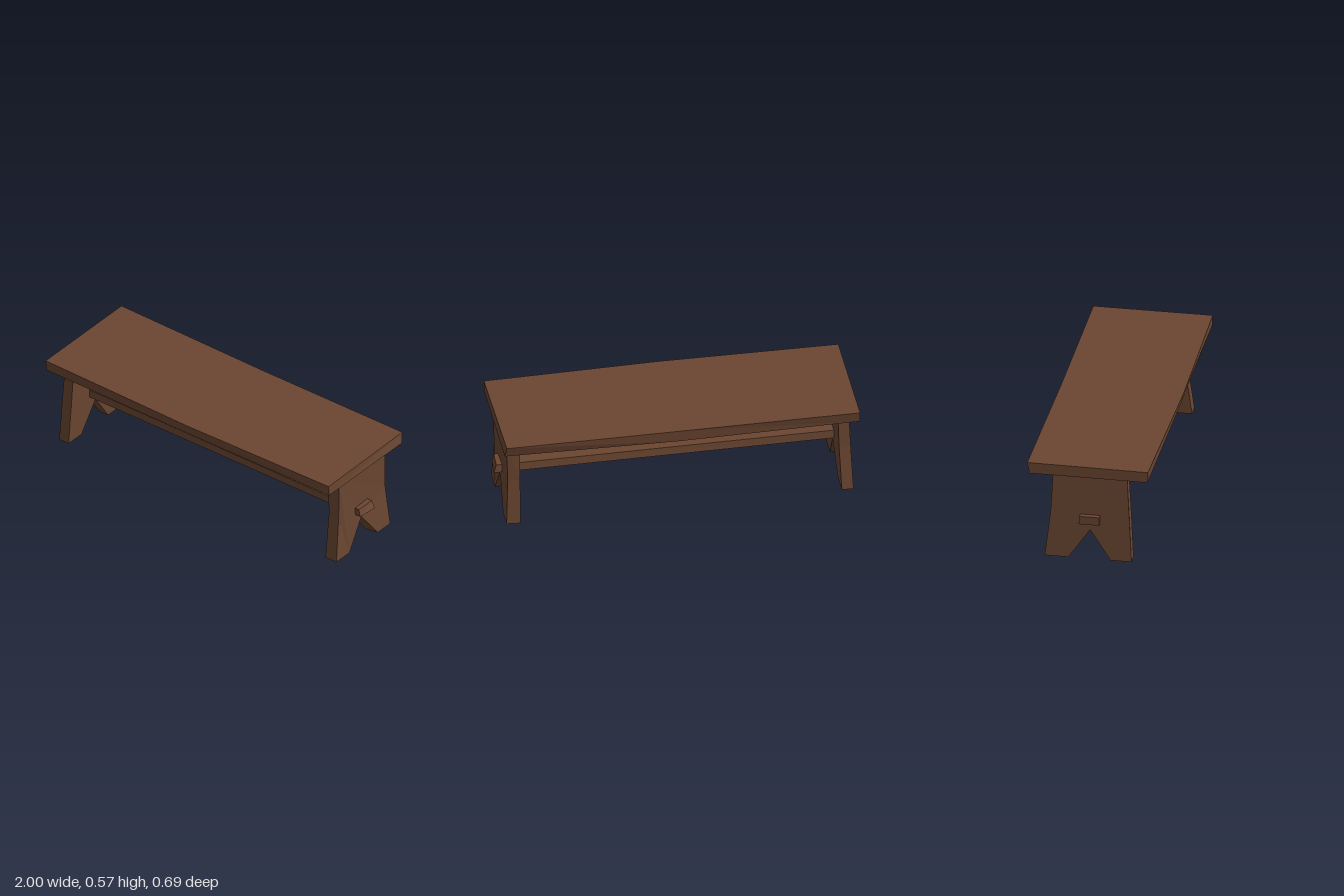
import * as THREE from 'three';

const wood = new THREE.MeshStandardMaterial({ color: 0x6b4631, flatShading: true });

// Lofts equal-length rings of [x, y, z] points, ordered from -x to +x, each
// counter-clockwise as seen from +x, and closes both ends.
function loft(name, rings) {
  const pos = [];
  const n = rings[0].length;
  const tri = (a, b, c) => pos.push(...a, ...b, ...c);
  for (let r = 0; r < rings.length - 1; r++) {
    const a = rings[r], b = rings[r + 1];
    for (let i = 0; i < n; i++) {
      const j = (i + 1) % n;
      tri(a[i], a[j], b[j]);
      tri(a[i], b[j], b[i]);
    }
  }
  const cap = (ring, flip) => {
    const outline = ring.map(([, y, z]) => new THREE.Vector2(-z, y));
    for (const [i, j, k] of THREE.ShapeUtils.triangulateShape(outline, [])) {
      if (flip) tri(ring[k], ring[j], ring[i]);
      else tri(ring[i], ring[j], ring[k]);
    }
  };
  cap(rings[0], true);
  cap(rings[rings.length - 1], false);

  const geometry = new THREE.BufferGeometry();
  geometry.setAttribute('position', new THREE.Float32BufferAttribute(pos, 3));
  geometry.computeVertexNormals();
  const mesh = new THREE.Mesh(geometry, wood);
  mesh.name = name;
  return mesh;
}

// Leg board face: straight-cut foot notch, slight waist, x given at foot, waist and top
function legFace([xFoot, xWaist, xTop], { front, back, notchFront, notchBack }) {
  const xNotch = xFoot + (xWaist - xFoot) * 0.66;
  return [
    [xFoot, 0, front[0]], [xFoot, 0, notchFront], [xNotch, 0.175, 0],
    [xFoot, 0, notchBack], [xFoot, 0, back[0]], [xWaist, 0.265, back[1]],
    [xTop, 0.506, back[2]], [xTop, 0.506, front[2]], [xWaist, 0.265, front[1]],
  ];
}

export function createModel() {
  const bench = new THREE.Group();
  bench.name = 'bench';

  // Seat plank, a little uneven along its length
  bench.add(loft('seat', [
    [[-1, 0.505, 0.325], [-1, 0.505, -0.335], [-1, 0.57, -0.347], [-1, 0.567, 0.328]],
    [[0, 0.503, 0.33], [0, 0.496, -0.333], [0, 0.565, -0.337], [0, 0.565, 0.345]],
    [[0.98, 0.505, 0.328], [0.98, 0.505, -0.32], [0.972, 0.567, -0.336], [0.98, 0.565, 0.33]],
  ]));

  // Board legs with V-cut feet
  const straight = { front: [0.232, 0.218, 0.204], back: [-0.253, -0.222, -0.21], notchFront: 0.115, notchBack: -0.12 };
  const waisted = { front: [0.232, 0.197, 0.201], back: [-0.247, -0.216, -0.209], notchFront: 0.115, notchBack: -0.137 };
  bench.add(loft('rightLeg', [
    legFace([-0.98, -0.97, -0.96], straight),
    legFace([-0.915, -0.905, -0.9], straight),
  ]));
  bench.add(loft('leftLeg', [
    legFace([0.88, 0.877, 0.876], { ...straight, front: waisted.front }),
    legFace([0.957, 0.945, 0.952], waisted),
  ]));

  // Stretcher passing through both legs, cut askew at the left end
  bench.add(loft('stretcher', [
    [[-1, 0.217, 0.055], [-1, 0.217, -0.06], [-1, 0.265, -0.055], [-1, 0.265, 0.055]],
    [[0.985, 0.219, 0.056], [0.995, 0.219, -0.061], [0.98, 0.266, -0.055], [0.975, 0.263, 0.056]],
  ]));

  return bench;
}
